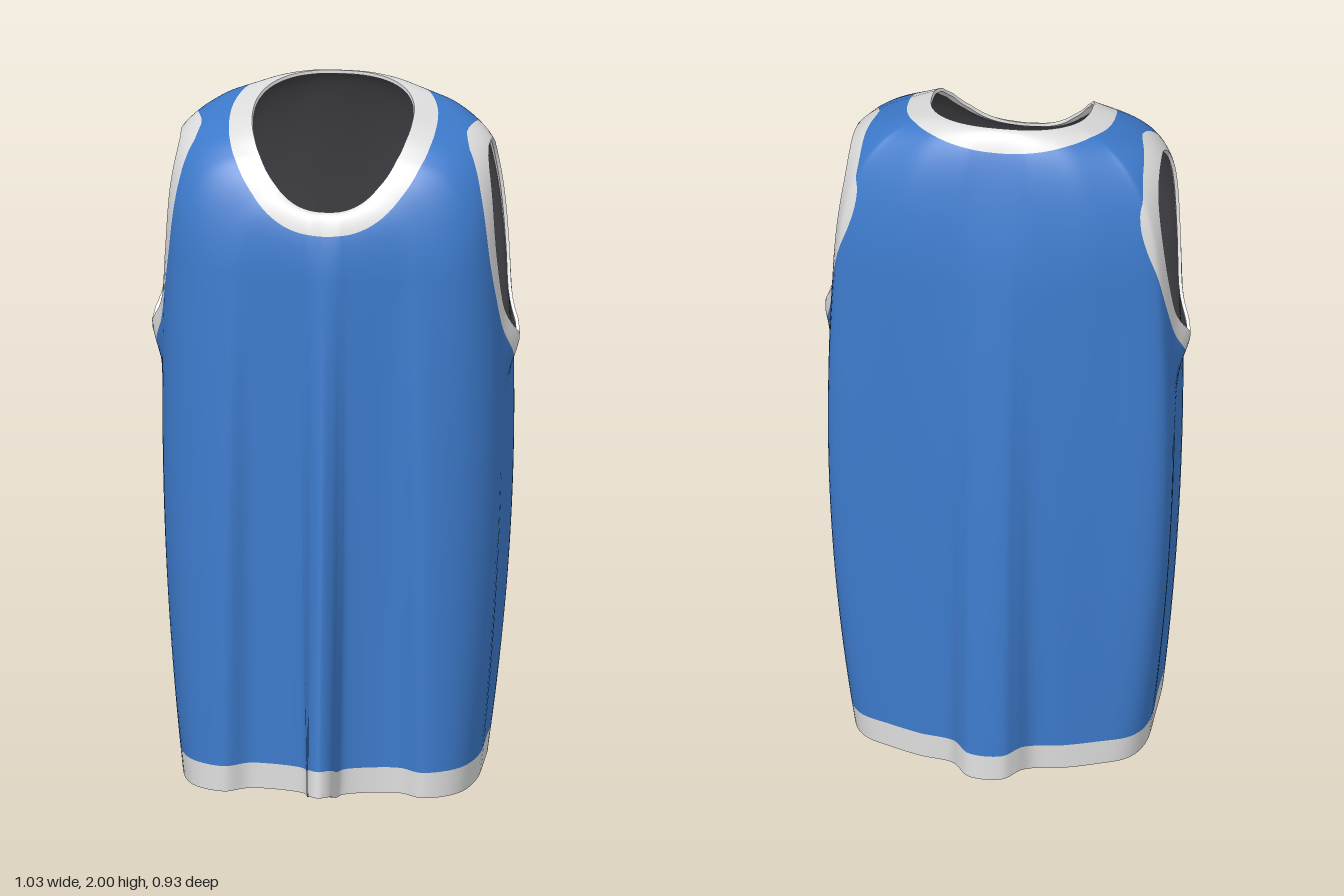
import * as THREE from 'three';

const COLS = 192, LOW = 60, HIGH = 38, CHEST_Y = 1.55, THICK = 0.01;

// Half outlines (x, z) from front centre round to back centre
const HEM = [0, .46, .03, .43, .04, .36, .065, .30, .2, .272, .28, .315, .37, .26, .41, .13, .415, -.05,
  .41, -.19, .37, -.27, .285, -.312, .2, -.342, .12, -.362, .08, -.42, .05, -.455, 0, -.465];
const WAIST = [0, .37, .03, .35, .05, .32, .08, .298, .2, .275, .28, .302, .4, .235, .465, .12, .472, -.05,
  .483, -.2, .445, -.275, .3, -.315, .2, -.342, .12, -.36, .08, -.385, .05, -.405, 0, -.41];
const CHEST = [0, .312, .03, .31, .05, .305, .08, .297, .2, .277, .28, .268, .39, .22, .453, .13, .48, -.05,
  .465, -.2, .43, -.25, .3, -.30, .2, -.32, .12, -.33, .08, -.335, .05, -.34, 0, -.34];

function outline(half) {
  const pts = [];
  for (let i = 0; i < half.length; i += 2) pts.push(new THREE.Vector3(half[i], 0, half[i + 1]));
  for (let i = pts.length - 2; i > 0; i--) pts.push(new THREE.Vector3(-pts[i].x, 0, pts[i].z));
  return new THREE.CatmullRomCurve3(pts, true, 'catmullrom', 0.5);
}

const lerp = THREE.MathUtils.lerp;
const power = (v, e) => Math.sign(v) * Math.abs(v) ** e;

// Neckline height by depth
function neckY(z) {
  const k = [[-.19, 2.0], [-.05, 1.967], [.0, 1.957], [.06, 1.945], [.12, 1.918], [.17, 1.87],
    [.215, 1.805], [.235, 1.768], [.25, 1.74]];
  let i = 0;
  while (i < k.length - 2 && z > k[i + 1][0]) i++;
  return lerp(k[i][1], k[i + 1][1], (z - k[i][0]) / (k[i + 1][0] - k[i][0]));
}

// Signed distance along a ray to a teardrop armhole, pointed at the bottom
function teardrop(y, z, bottom, top, width) {
  const cy = 1.62, dz = Math.abs(z + .047), dy = y - cy, r = Math.hypot(dz, dy) || 1e-6;
  let lo = 0, hi = 0.6;
  for (let i = 0; i < 22; i++) {
    const m = (lo + hi) / 2, u = (cy + dy / r * m - bottom) / (top - bottom);
    const inside = u > 0 && u < 1 && dz / r * m < width / .442 * u ** .8 * (1 - u) ** .45;
    if (inside) lo = m; else hi = m;
  }
  return r - lo;
}

// Cloth grid: rows rise from the hem, over the shoulders, to the neckline
function buildCloth() {
  const verts = [], tris = [], rows = LOW + HIGH + 1;
  const curves = [HEM, WAIST, CHEST].map(outline);
  const m = .9, e = CHEST_Y;
  for (let r = 0; r < rows; r++) for (let c = 0; c < COLS; c++) {
    const [h, w, k] = curves.map(q => q.getPoint(c / COLS));
    const hemY = .018 + .05 * h.z + .035 * THREE.MathUtils.smoothstep(h.z, .32, .46)
      + .025 * THREE.MathUtils.smoothstep(-h.z, .34, .42);
    const phi = Math.atan2(k.x / .47, (k.z + .02) / .32);
    const neck = new THREE.Vector3(.225 * power(Math.sin(phi), .83), 0, .03 + .22 * power(Math.cos(phi), .83));
    neck.y = neckY(neck.z);
    const p = new THREE.Vector3();
    if (r <= LOW) {
      // Quadratic blend of the three outlines
      p.y = lerp(hemY, e, r / LOW);
      const y = lerp(0, e, r / LOW);
      p.addScaledVector(h, (y - m) * (y - e) / (m * e));
      p.addScaledVector(w, y * (y - e) / (m * (m - e)));
      p.addScaledVector(k, y * (y - m) / (e * (e - m)));
    } else {
      // Rounded chest and back, square sloping shoulders, keeping the lean of the cloth below
      const u = (r - LOW) / HIGH, t = Math.PI / 2 * u * u * (3 - 2 * u);
      const side = Math.sin(phi) ** 2, drop = .08 * side * side;
      const n = lerp(2, 5, side ** (Math.cos(phi) > 0 ? 3 : 4));
      const a = 1 - Math.max(0, Math.cos(t)) ** (2 / n), b = Math.sin(t) ** (2 / n);
      const y = lerp(e, neck.y - drop, b) + drop * a;
      const lean = new THREE.Vector3()
        .addScaledVector(h, (e - m) / (m * e))
        .addScaledVector(w, e / (m * (m - e)))
        .addScaledVector(k, (2 * e - m) / (e * (e - m)));
      p.copy(k).addScaledVector(lean, y - e).lerp(neck, a).setY(y);
    }
    // Underarm flare
    if (Math.abs(p.x) > .3) p.x += Math.sign(p.x) * .035 *
      Math.exp(-(((p.z + .05) / .07) ** 2) - ((p.y - 1.29) / .09) ** 2);
    const onSide = Math.abs(p.x) > .2;
    const arm = onSide ? teardrop(p.y, p.z, 1.29, 1.86, .138) : 1;
    const toNeck = p.distanceTo(neck), toHem = p.y - hemY;
    verts.push({ p, n: new THREE.Vector3(), f: [
      arm,
      onSide ? teardrop(p.y, p.z, 1.22, 1.905, .192) : 1,
      toNeck - .07,
      toHem - .075,
      Math.min(arm, toNeck, toHem) - .018] });
    if (r < rows - 1) {
      const i = r * COLS + c, j = r * COLS + (c + 1) % COLS;
      tris.push([i, j, j + COLS], [i, j + COLS, i + COLS]);
    }
  }
  // Smooth normals
  for (const t of tris) {
    const [a, b, c] = t.map(i => verts[i].p);
    const n = b.clone().sub(a).cross(c.clone().sub(a));
    t.forEach(i => verts[i].n.add(n));
  }
  verts.forEach(v => v.n.normalize());
  return { verts, tris };
}

// Divide triangles along the zero line of one field
function split(verts, tris, field) {
  const neg = [], pos = [], cuts = new Map();
  const val = i => verts[i].f[field];
  const cut = (i, j) => {
    const key = i < j ? i + '_' + j : j + '_' + i;
    if (!cuts.has(key)) {
      const a = verts[i], b = verts[j], t = val(i) / (val(i) - val(j));
      cuts.set(key, verts.length);
      verts.push({ p: a.p.clone().lerp(b.p, t), n: a.n.clone().lerp(b.n, t).normalize(),
        f: a.f.map((x, q) => q === field ? 0 : lerp(x, b.f[q], t)) });
    }
    return cuts.get(key);
  };
  for (const t of tris) {
    const s = t.map(i => val(i) < 0);
    const count = s.filter(Boolean).length;
    if (count === 0) { pos.push(t); continue; }
    if (count === 3) { neg.push(t); continue; }
    const k = s.indexOf(count === 1), [a, b, c] = [t[k], t[(k + 1) % 3], t[(k + 2) % 3]];
    const ab = cut(a, b), ac = cut(a, c);
    const [one, two] = count === 1 ? [neg, pos] : [pos, neg];
    one.push([a, ab, ac]);
    two.push([ab, b, c], [ab, c, ac]);
  }
  return [neg, pos];
}

function clothMesh(name, verts, tris, material, inner = false) {
  const ids = new Map(), pos = [], nor = [], index = [];
  for (const t of tris) for (const i of inner ? [t[0], t[2], t[1]] : t) {
    if (!ids.has(i)) {
      const { p, n } = verts[i], d = inner ? THICK : 0, s = inner ? -1 : 1;
      ids.set(i, ids.size);
      pos.push(p.x - n.x * d, p.y - n.y * d, p.z - n.z * d);
      nor.push(n.x * s, n.y * s, n.z * s);
    }
    index.push(ids.get(i));
  }
  const g = new THREE.BufferGeometry();
  g.setAttribute('position', new THREE.Float32BufferAttribute(pos, 3));
  g.setAttribute('normal', new THREE.Float32BufferAttribute(nor, 3));
  g.setIndex(index);
  const mesh = new THREE.Mesh(g, material);
  mesh.name = name;
  return mesh;
}

// Narrow strip joining outer and inner cloth along every open edge
function rimMesh(verts, tris, material) {
  const edges = new Set(), pos = [];
  for (const t of tris) for (let k = 0; k < 3; k++) edges.add(t[k] + '_' + t[(k + 1) % 3]);
  for (const e of edges) {
    const [i, j] = e.split('_').map(Number);
    if (edges.has(j + '_' + i)) continue;
    const a = verts[i].p, b = verts[j].p;
    const a2 = a.clone().addScaledVector(verts[i].n, -THICK), b2 = b.clone().addScaledVector(verts[j].n, -THICK);
    for (const v of [a, b2, b, a, a2, b2]) pos.push(v.x, v.y, v.z);
  }
  const g = new THREE.BufferGeometry();
  g.setAttribute('position', new THREE.Float32BufferAttribute(pos, 3));
  g.computeVertexNormals();
  const mesh = new THREE.Mesh(g, material);
  mesh.name = 'edgeRim';
  return mesh;
}

export function createModel() {
  const mat = (name, color, side = THREE.FrontSide) => {
    const m = new THREE.MeshStandardMaterial({ color, side });
    m.name = name;
    return m;
  };
  const blue = mat('blueCloth', 0x3d7acb), white = mat('whiteTrim', 0xdedede, THREE.DoubleSide);
  const dark = mat('darkLining', 0x414045);

  const { verts, tris } = buildCloth();
  const whole = split(verts, tris, 0)[1];
  const [arm, rest] = split(verts, whole, 1);
  const [neck, lower] = split(verts, rest, 2);
  const [hem, body] = split(verts, lower, 3);
  const [fold, lining] = split(verts, whole, 4);

  const group = new THREE.Group();
  group.name = 'sleevelessJersey';
  group.add(
    clothMesh('body', verts, body, blue),
    clothMesh('leftArmholeTrim', verts, arm.filter(t => verts[t[0]].p.x > 0), white),
    clothMesh('rightArmholeTrim', verts, arm.filter(t => verts[t[0]].p.x < 0), white),
    clothMesh('neckTrim', verts, neck, white),
    clothMesh('hemTrim', verts, hem, white),
    clothMesh('innerFold', verts, fold, white, true),
    clothMesh('lining', verts, lining, dark, true),
    rimMesh(verts, whole, white));
  return group;
}
